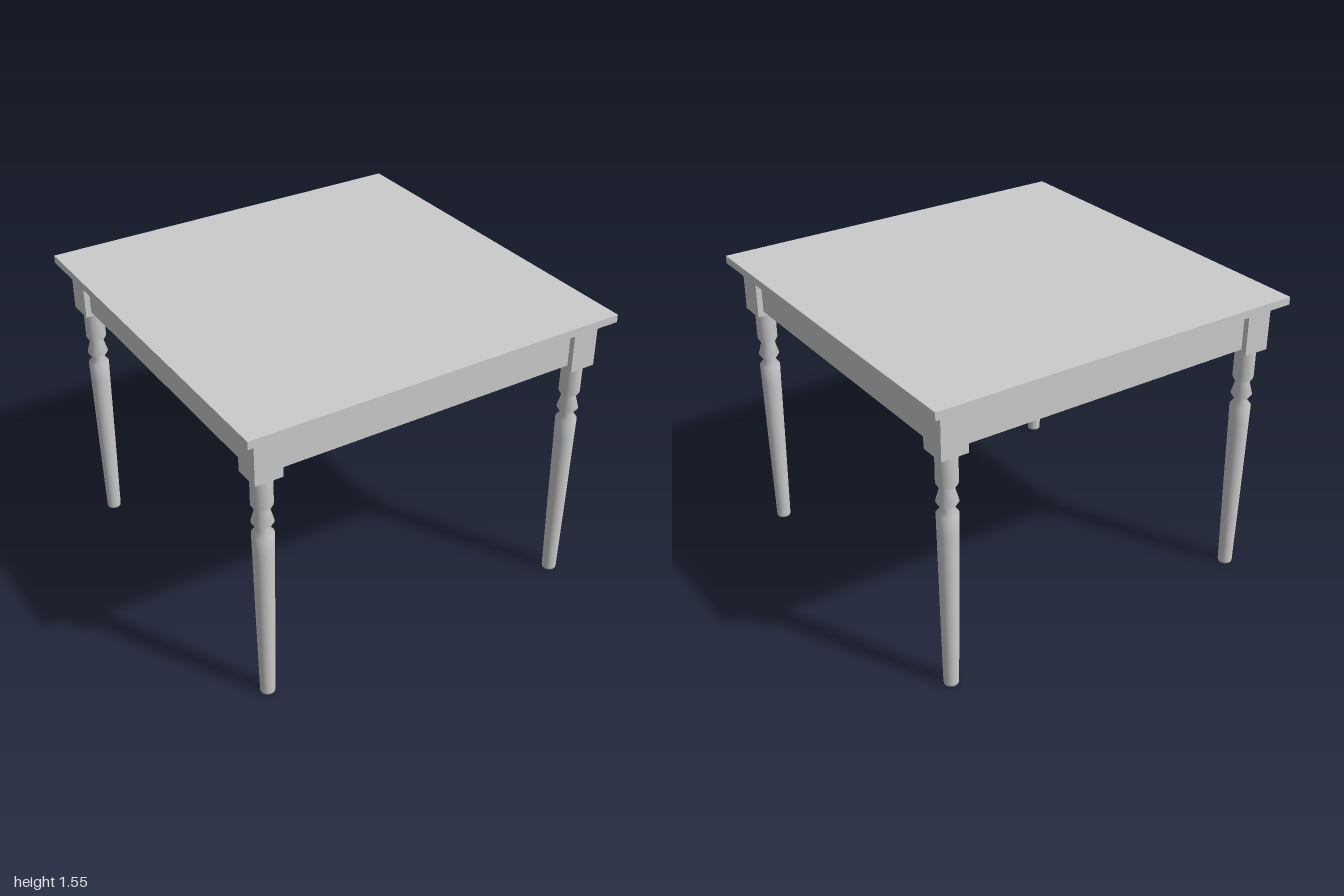
import * as THREE from 'three';

const material = new THREE.MeshStandardMaterial({ color: 0xcccccc });

function addBox(parent, name, size, position) {
  const mesh = new THREE.Mesh(new THREE.BoxGeometry(...size), material);
  mesh.name = name;
  mesh.position.set(...position);
  parent.add(mesh);
}

export function createModel() {
  const table = new THREE.Group();
  table.name = 'table';

  // Square top
  addBox(table, 'tableTop', [2, 0.04, 2], [0, 1.53, 0]);

  // Turned leg profile: [radius, height], from the foot up
  const profile = [
    [0, 0], [0.035, 0], [0.037, 0.01], [0.045, 0.45], [0.051, 0.85], [0.053, 0.95],
    [0.03, 0.98], [0.053, 1.015], [0.035, 1.08], [0.052, 1.11], [0.052, 1.28],
  ].map(([r, y]) => new THREE.Vector2(r, y));
  const legGeometry = new THREE.LatheGeometry(profile, 24);

  // Four legs, each a turned post below a square corner block
  for (const x of [-0.87, 0.87]) {
    for (const z of [-0.87, 0.87]) {
      const leg = new THREE.Group();
      leg.name = (z > 0 ? 'front' : 'back') + (x > 0 ? 'Left' : 'Right') + 'Leg';
      leg.position.set(x, 0, z);
      const post = new THREE.Mesh(legGeometry, material);
      post.name = 'turnedPost';
      leg.add(post);
      addBox(leg, 'cornerBlock', [0.14, 0.245, 0.14], [0, 1.3875, 0]);
      table.add(leg);
    }
  }

  // Apron rails, set back slightly from the block faces
  for (const s of [-1, 1]) {
    addBox(table, s > 0 ? 'frontApron' : 'backApron', [1.6, 0.22, 0.08], [0, 1.4, s * 0.87]);
    addBox(table, s > 0 ? 'leftApron' : 'rightApron', [0.08, 0.22, 1.6], [s * 0.87, 1.4, 0]);
  }

  return table;
}
